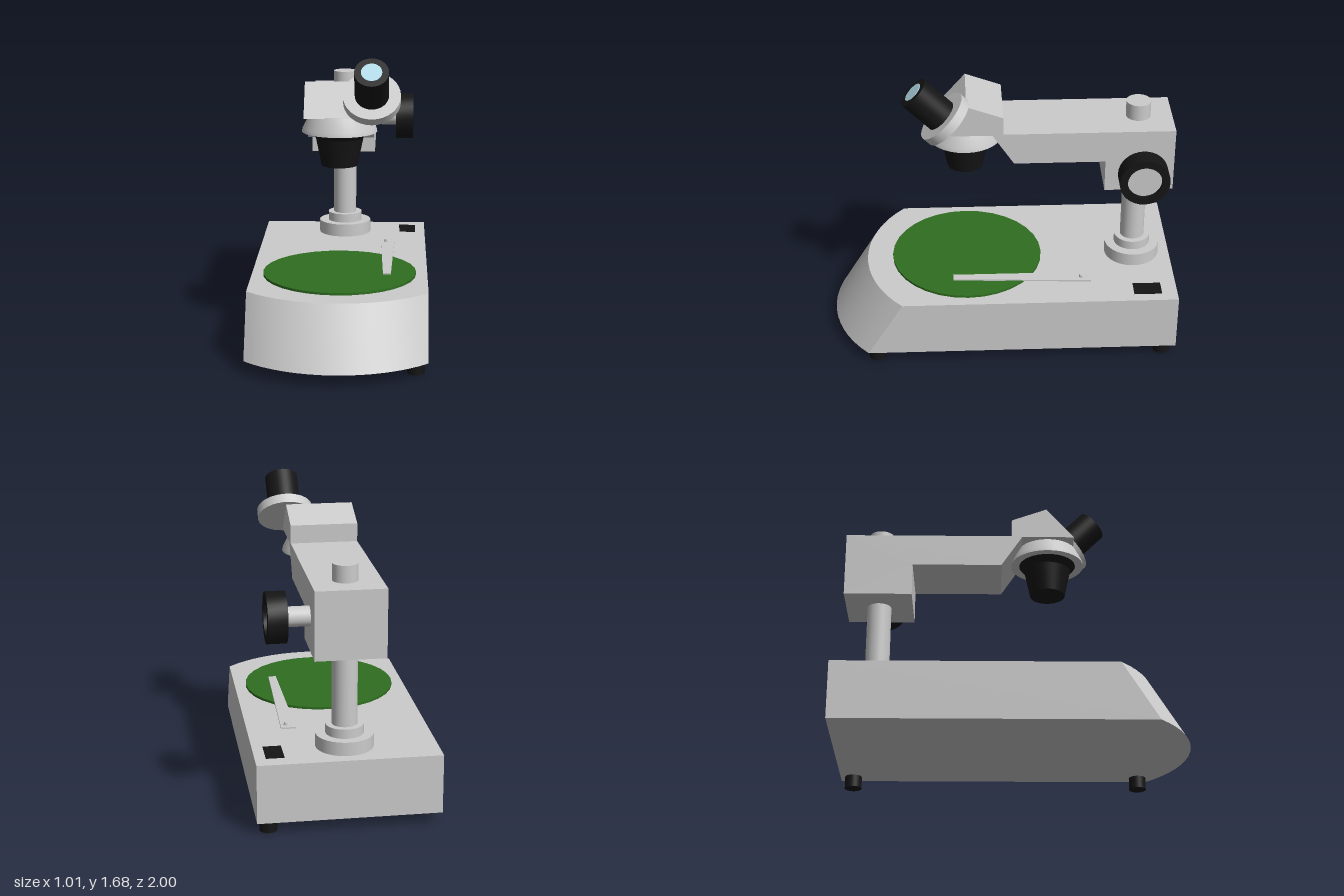
import * as THREE from 'three';
import { toCreasedNormals } from 'three/addons/utils/BufferGeometryUtils.js';

const mat = (color) => new THREE.MeshStandardMaterial({ color });
const grey = mat(0xcccccc), black = mat(0x151515), green = mat(0x2f6e20), glass = mat(0xb4dcea);

export function createModel() {
  const root = new THREE.Group();

  const add = (name, geometry, material, x = 0, y = 0, z = 0, parent = root) => {
    const mesh = new THREE.Mesh(geometry, material);
    mesh.name = name;
    mesh.position.set(x, y, z);
    parent.add(mesh);
    return mesh;
  };

  // Upright cylinder given by its bottom and top heights
  const post = (name, r, y0, y1, x, z, material = grey, rTop = r, parent = root) =>
    add(name, new THREE.CylinderGeometry(rTop, r, y1 - y0, 32), material, x, (y0 + y1) / 2, z, parent);

  // Side profile in [z, y], extruded across x
  const sideProfile = (points, x0, x1) => {
    const shape = new THREE.Shape(points.map(([z, y]) => new THREE.Vector2(-z, y)));
    return new THREE.ExtrudeGeometry(shape, { depth: x1 - x0, bevelEnabled: false })
      .rotateY(Math.PI / 2).translate(x0, 0, 0);
  };

  // Turned part from [radius, height] points, sharp where the profile bends
  const turned = (points) => toCreasedNormals(
    new THREE.LatheGeometry(points.map(([r, y]) => new THREE.Vector2(r, y)), 32), 0.5);

  // Base: bowed front that slopes outward towards the bottom
  const bottom = 0.07, top = 0.405, halfArc = 0.788;
  const plan = new THREE.Shape();
  plan.moveTo(0.505, 1);
  plan.lineTo(-0.505, 1);
  plan.absarc(0, -0.083, 0.712, -Math.PI / 2 - halfArc, -Math.PI / 2 + halfArc, false);
  const base = new THREE.ExtrudeGeometry(plan, { depth: top - bottom, bevelEnabled: false, curveSegments: 8 })
    .rotateX(-Math.PI / 2).translate(0, bottom, 0);
  const p = base.attributes.position;
  for (let i = 0; i < p.count; i++) {
    if (p.getZ(i) > 0) p.setZ(i, p.getZ(i) + 0.205 * (top - p.getY(i)) / (top - bottom));
  }
  add('base', toCreasedNormals(base, 0.5), grey);

  // Feet, only along the left side
  for (const z of [0.74, -0.925]) post('foot', 0.049, 0, bottom + 0.005, 0.437, z, black);

  // Stage plate and power switch
  post('stagePlate', 0.44, top, 0.419, 0, 0.205, green);
  add('switch', new THREE.BoxGeometry(0.1, 0.006, 0.16), black, 0.395, top + 0.002, -0.83);

  // Specimen clip: tapered strip rising slightly to the front, held by a screw
  const strip = new THREE.Shape([[0.23, 0.51], [0.25, -0.29], [0.295, -0.29], [0.315, 0.51]]
    .map(([x, y]) => new THREE.Vector2(x, y)));
  const clip = new THREE.ExtrudeGeometry(strip, { depth: 0.009, bevelEnabled: false }).rotateX(-Math.PI / 2);
  const c = clip.attributes.position;
  for (let i = 0; i < c.count; i++) c.setY(i, c.getY(i) + 0.408 + 0.016 * (c.getZ(i) + 0.51) / 0.8);
  clip.computeVertexNormals();
  add('clip', clip, grey);
  post('clipScrew', 0.025, 0.41, 0.432, 0.273, -0.465, grey, 0.018);

  // Pillar with stepped collar
  const pz = -0.777;
  post('pillar', 0.07, top, 1.435, 0, pz);
  post('lowerCollar', 0.16, top, 0.482, 0, pz);
  post('upperCollar', 0.105, 0.482, 0.535, 0, pz);

  // Arm with clamp block, and the wedge-shaped head housing on its front
  add('arm', sideProfile([[-0.97, 1.34], [-0.97, 0.96], [-0.58, 0.96], [-0.58, 1.15],
    [-0.065, 1.15], [0.06, 1.34]], -0.195, 0.19), grey);
  add('headHousing', sideProfile([[-0.005, 1.335], [0.36, 1.335], [0.2, 1.52], [-0.005, 1.445]],
    -0.195, 0.19), grey);

  // Objective below the head
  const oz = 0.207;
  add('objectiveFlange', turned([[0, 1.24], [0.213, 1.24], [0.208, 1.262], [0.168, 1.341], [0, 1.341]]),
    grey, 0, 0, oz);
  add('objective', turned([[0, 1.045], [0.102, 1.045], [0.135, 1.205], [0.168, 1.243], [0, 1.243]]),
    black, 0, 0, oz);

  // Focus knob: shaft, black rim and inset face
  const knob = new THREE.Group();
  knob.name = 'focusKnob';
  knob.position.set(0.18, 1.15, pz);
  knob.rotation.z = -Math.PI / 2;
  root.add(knob);
  post('knobShaft', 0.055, 0, 0.16, 0, 0, grey, 0.055, knob);
  add('knobRim', turned([[0, 0.138], [0.14, 0.138], [0.14, 0.245], [0.096, 0.245], [0.096, 0.22], [0, 0.22]]),
    black, 0, 0, 0, knob);
  post('knobFace', 0.096, 0.215, 0.225, 0, 0, grey, 0.096, knob);

  // Tilted eyepiece on the left half of the head
  const eyepiece = new THREE.Group();
  eyepiece.name = 'eyepiece';
  eyepiece.position.set(0.183, 1.445, 0.318);
  eyepiece.rotation.x = Math.PI / 4;
  root.add(eyepiece);
  post('eyepieceDisc', 0.161, -0.028, 0.028, 0, 0, grey, 0.161, eyepiece);
  post('eyepieceTube', 0.095, 0.02, 0.242, 0, 0, black, 0.095, eyepiece);
  post('eyepieceLens', 0.058, 0.235, 0.245, 0, 0, glass, 0.058, eyepiece);

  return root;
}
